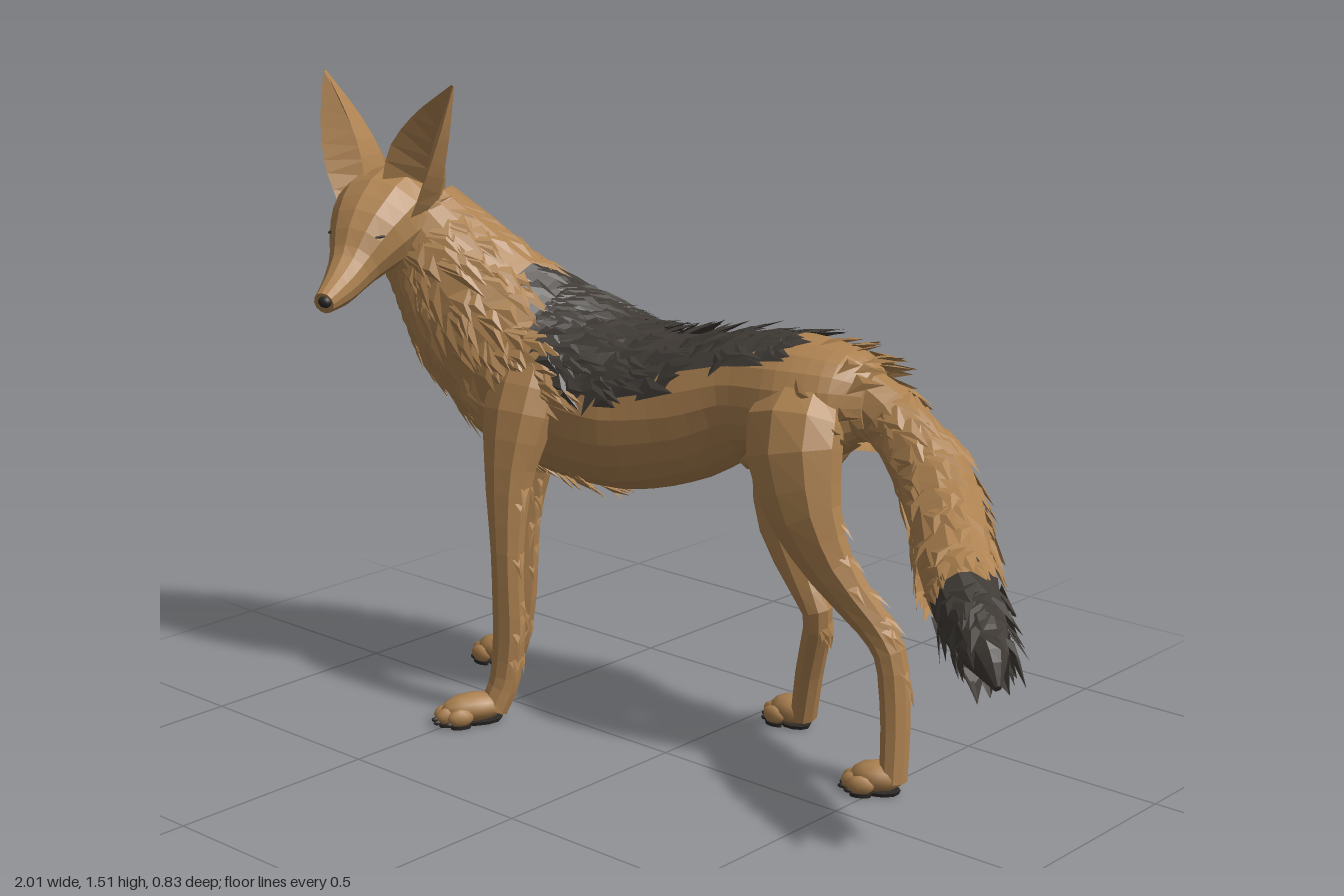
import * as THREE from 'three';

const V = (x, y, z) => new THREE.Vector3(x, y, z);
const UP = V(0, 1, 0), FORWARD = V(-1, 0, 0), FRONT = V(0, 0, 1);
const TAU = Math.PI * 2;

let seed = 7;
const rand = (a = 0, b = 1) => {
  seed = (seed * 16807) % 2147483647;
  return a + (b - a) * (seed / 2147483647);
};

// Tube-like surface through sections [x, y, z, halfWidth, halfHeight]
function surface(sections, ref) {
  const path = new THREE.CatmullRomCurve3(sections.map(s => V(s[0], s[1], s[2])), false, 'catmullrom', 0.4);
  const size = new THREE.CatmullRomCurve3(sections.map(s => V(s[3], s[4], 0)), false, 'catmullrom', 0.4);
  return (u, px, py) => {
    const center = path.getPoint(u), t = path.getTangent(u), r = size.getPoint(u);
    const side = ref.clone().cross(t).normalize(), up = t.clone().cross(side);
    const out = side.multiplyScalar(px * r.x).addScaledVector(up, py * r.y);
    return { center, t, p: center.clone().add(out), n: out.clone().normalize() };
  };
}

const circle = n => Array.from({ length: n }, (_, i) => [Math.cos(i / n * TAU), Math.sin(i / n * TAU)]);

// Faceted, capped skin over a surface, as a list of triangles
function skin(at, rings, profile) {
  const tris = [], grid = [], n = profile.length;
  for (let i = 0; i <= rings; i++) grid.push(profile.map(([x, y]) => at(i / rings, x, y).p));
  const c0 = at(0, 0, 0).center, c1 = at(1, 0, 0).center;
  for (let j = 0; j < n; j++) {
    const k = (j + 1) % n;
    for (let i = 0; i < rings; i++) {
      const a = grid[i], b = grid[i + 1];
      tris.push([a[j], a[k], b[j]], [a[k], b[k], b[j]]);
    }
    tris.push([c0, grid[0][k], grid[0][j]], [c1, grid[rings][j], grid[rings][k]]);
  }
  return tris;
}

// Pointed, ridged locks of fur lying along a surface
function fur(at, count, [u0, u1], [a0, a1], length, width, flow, lift = 0.014) {
  const tris = [];
  for (let i = 0; i < count; i++) {
    const a = rand(a0, a1), { p, n, t } = at(rand(u0, u1), Math.cos(a), Math.sin(a));
    const f = t.multiplyScalar(flow).addScaledVector(UP, -0.15);
    f.addScaledVector(n, -f.dot(n)).normalize();
    const s = n.clone().cross(f);
    f.addScaledVector(s, rand(-0.3, 0.3)).normalize();
    const L = length * rand(0.7, 1.25), W = width * rand(0.8, 1.2);
    const base = p.clone().addScaledVector(n, -0.003);
    const A = base.clone().addScaledVector(s, -W), B = base.clone().addScaledVector(s, W);
    const M = p.clone().addScaledVector(f, L * 0.4).addScaledVector(n, lift * 0.8);
    const T = p.clone().addScaledVector(f, L).addScaledVector(n, lift * rand(0.4, 1.5));
    tris.push([A, M, B, p], [A, T, M, p], [B, M, T, p]);
  }
  return tris;
}

// Saddle region on the back, reaching further forward and lower on the far side
const isSaddle = p => p.x < 0.18
  && p.y > 0.885 + 0.36 * p.x + Math.min(0, p.z + 0.17) * 0.4
  && p.x > -0.45 + Math.min(0, p.z + 0.1) * 0.85 + (1.03 - p.y) * 0.6;
const isTailTip = p => 0.8 * (p.x - 0.78) - 0.35 * (p.y - 0.55) + 0.5 * (p.z + 0.05) > 0;

export function createModel() {
  const model = new THREE.Group();
  model.name = 'wildDog';
  const mat = (name, color) => new THREE.MeshStandardMaterial({ name, color, side: THREE.DoubleSide });
  const tan = mat('tan fur', 0xac8150), dark = mat('charcoal fur', 0x403b36), black = mat('black skin', 0x2e2a27);

  const mesh = (name, geometry, material, parent = model) => {
    const m = new THREE.Mesh(geometry, material);
    m.name = name;
    parent.add(m);
    return m;
  };

  // Triangles to meshes, split into light and dark by a painting rule
  const build = (name, tris, rule = () => false) => {
    const lists = [[], []];
    for (const [a, b, c, root] of tris) {
      const mid = root || a.clone().add(b).add(c).divideScalar(3);
      lists[rule(mid) ? 1 : 0].push(a, b, c);
    }
    lists.forEach((points, i) => {
      if (!points.length) return;
      const g = new THREE.BufferGeometry().setFromPoints(points);
      g.computeVertexNormals();
      mesh(i ? name + 'Dark' : name, g, i ? dark : tan);
    });
  };

  // Body from rump to neck
  const body = surface([
    [0.385, 0.85, -0.265, 0.06, 0.08], [0.32, 0.85, -0.26, 0.125, 0.118], [0.2, 0.835, -0.245, 0.148, 0.148],
    [0.05, 0.825, -0.225, 0.132, 0.143], [-0.1, 0.775, -0.19, 0.135, 0.175], [-0.25, 0.755, -0.17, 0.162, 0.203],
    [-0.4, 0.785, -0.14, 0.178, 0.222], [-0.53, 0.86, -0.09, 0.168, 0.212], [-0.615, 0.96, -0.035, 0.157, 0.19],
    [-0.69, 1.075, 0.008, 0.142, 0.152], [-0.76, 1.18, 0.045, 0.115, 0.112],
  ], UP);
  build('body', skin(body, 36, circle(20)), isSaddle);
  build('neckFur', fur(body, 330, [0.66, 0.97], [0, TAU], 0.095, 0.027, -1, 0.017), isSaddle);
  build('backFur', fur(body, 340, [0.16, 0.72], [-0.1, Math.PI + 0.2], 0.09, 0.03, -1, 0.009).filter(t => isSaddle(t[3])), isSaddle);
  build('shoulderFur', fur(body, 50, [0.58, 0.67], [-0.1, Math.PI + 0.1], 0.09, 0.026, -1), isSaddle);
  build('bellyFur', fur(body, 45, [0.52, 0.68], [-2.1, -1], 0.06, 0.018, -1));
  build('rumpFur', fur(body, 40, [0.02, 0.16], [0, TAU], 0.075, 0.022, -1, 0.01), isSaddle);
  const groin = mesh('groin', new THREE.IcosahedronGeometry(1, 1), tan);
  groin.position.set(0.09, 0.69, -0.225);
  groin.scale.set(0.075, 0.045, 0.045);

  // Tail
  const tail = surface([
    [0.3, 0.89, -0.255, 0.06, 0.06], [0.42, 0.82, -0.28, 0.07, 0.07], [0.54, 0.72, -0.265, 0.085, 0.085],
    [0.65, 0.63, -0.185, 0.085, 0.085], [0.75, 0.565, -0.08, 0.08, 0.08], [0.86, 0.51, 0.01, 0.066, 0.068],
    [0.925, 0.475, 0.06, 0.043, 0.052], [0.97, 0.43, 0.09, 0.008, 0.01],
  ], UP);
  build('tail', skin(tail, 24, circle(10)), isTailTip);
  build('tailFur', fur(tail, 170, [0.1, 0.82], [0, TAU], 0.09, 0.03, 1, 0.012), isTailTip);

  // Head and muzzle
  const head = surface([
    [-0.79, 1.19, -0.02, 0.06, 0.07], [-0.785, 1.2, 0.04, 0.12, 0.1], [-0.775, 1.185, 0.12, 0.13, 0.108],
    [-0.755, 1.14, 0.195, 0.1, 0.095], [-0.735, 1.085, 0.265, 0.058, 0.06], [-0.71, 1.05, 0.33, 0.04, 0.044],
    [-0.685, 1.028, 0.397, 0.025, 0.026],
  ], UP);
  build('head', skin(head, 14, circle(12)));
  build('cheekFur', [...fur(head, 30, [0.08, 0.34], [-1.1, 0.4], 0.07, 0.022, -1),
    ...fur(head, 30, [0.08, 0.34], [2.75, 4.25], 0.07, 0.022, -1)]);
  const nose = mesh('nose', new THREE.IcosahedronGeometry(1, 1), black);
  nose.position.set(-0.682, 1.032, 0.396);
  nose.scale.set(0.018, 0.015, 0.014);
  // Slit eyes under the brow
  for (const a of [0.62, Math.PI - 0.62]) {
    const { p, n } = head(0.56, Math.cos(a), Math.sin(a));
    const eye = mesh('eye', new THREE.SphereGeometry(1, 8, 6), black);
    eye.position.copy(p);
    eye.lookAt(p.clone().add(n));
    eye.scale.set(0.016, 0.003, 0.004);
  }

  // Tall cupped ears, open towards the front
  const cup = [[1, 0.4], [0, -0.35], [-1, 0.4], [-0.75, -0.4], [0, -0.9], [0.75, -0.4]];
  for (const s of [-1, 1]) {
    const x = d => -0.775 + s * d;
    const ear = surface([
      [x(0.075), 1.22, 0.11, 0.055, 0.12], [x(0.115), 1.32, 0.118, 0.068, 0.092],
      [x(0.165), 1.41, 0.115, 0.047, 0.055], [x(0.222), 1.505, 0.105, 0.003, 0.005],
    ], FRONT);
    build(s < 0 ? 'rightEar' : 'leftEar', skin(ear, 8, cup));
  }

  // Legs: sections from the body down to the ankle, then a toe position
  const legs = {
    leftFrontLeg: { toe: [-0.505, 0.22], path: [
      [-0.44, 0.93, -0.05, 0.05, 0.08], [-0.435, 0.76, 0.025, 0.07, 0.1], [-0.43, 0.6, 0.07, 0.05, 0.065],
      [-0.42, 0.42, 0.09, 0.035, 0.043], [-0.42, 0.22, 0.088, 0.034, 0.044], [-0.43, 0.1, 0.095, 0.034, 0.039],
      [-0.445, 0.03, 0.12, 0.034, 0.036]] },
    rightFrontLeg: { toe: [-0.77, -0.165], path: [
      [-0.54, 0.86, -0.16, 0.06, 0.1], [-0.56, 0.72, -0.175, 0.06, 0.09], [-0.585, 0.58, -0.17, 0.045, 0.06],
      [-0.61, 0.42, -0.16, 0.035, 0.043], [-0.63, 0.22, -0.165, 0.034, 0.042], [-0.65, 0.1, -0.165, 0.034, 0.038],
      [-0.675, 0.03, -0.165, 0.034, 0.036]] },
    leftHindLeg: { toe: [0.455, -0.12], path: [
      [0.24, 0.91, -0.23, 0.05, 0.07], [0.255, 0.79, -0.135, 0.09, 0.125], [0.3, 0.63, -0.115, 0.07, 0.1],
      [0.37, 0.5, -0.13, 0.048, 0.065], [0.475, 0.38, -0.16, 0.037, 0.044], [0.515, 0.31, -0.17, 0.037, 0.037],
      [0.53, 0.17, -0.17, 0.036, 0.033], [0.535, 0.03, -0.16, 0.035, 0.03]] },
    rightHindLeg: { toe: [0.055, -0.335], path: [
      [0.23, 0.91, -0.27, 0.05, 0.07], [0.18, 0.79, -0.325, 0.08, 0.12], [0.09, 0.63, -0.325, 0.066, 0.1],
      [0.095, 0.51, -0.31, 0.047, 0.075], [0.18, 0.38, -0.285, 0.036, 0.047], [0.22, 0.31, -0.283, 0.033, 0.037],
      [0.175, 0.17, -0.312, 0.034, 0.034], [0.14, 0.03, -0.335, 0.035, 0.03]] },
  };
  for (const [name, { toe, path }] of Object.entries(legs)) {
    const leg = surface(path, FORWARD);
    build(name, skin(leg, 16, circle(9)));
    build(name + 'Fur', fur(leg, 12, [0.35, 0.8], [-2.1, -1], 0.06, 0.012, 1, 0.006));

    // Paw with four toes, claws and dark pads underneath
    const [ax, , az] = path[path.length - 1];
    const reach = Math.hypot(toe[0] - ax, toe[1] - az);
    const paw = new THREE.Group();
    paw.name = name + 'Paw';
    paw.position.set(ax, 0, az);
    paw.rotation.y = Math.atan2(toe[0] - ax, toe[1] - az);
    model.add(paw);
    const blob = (part, x, y, z, sx, sy, sz, material = tan) => {
      const g = new THREE.IcosahedronGeometry(1, 1).scale(sx, sy, sz);
      mesh(part, g, material, paw).position.set(x, y, z);
    };
    const pad = (part, x, z, rx, rz) => {
      const m = mesh(part, new THREE.CylinderGeometry(1, 0.9, 0.009, 10), black, paw);
      m.position.set(x, 0.0045, z);
      m.scale.set(rx, 1, rz);
    };
    blob('foot', 0, 0.04, reach * 0.4, 0.042, 0.035, reach * 0.7);
    pad('heelPad', 0, reach * 0.3, 0.032, reach * 0.5);
    for (let i = 0; i < 4; i++) {
      const x = (i - 1.5) * 0.023, z = reach * (i === 1 || i === 2 ? 0.95 : 0.75);
      blob('toe', x, 0.027, z, 0.015, 0.022, 0.032);
      pad('toePad', x, z, 0.012, 0.026);
      blob('claw', x, 0.012, z + 0.028, 0.005, 0.006, 0.01, black);
    }
  }
  return model;
}
